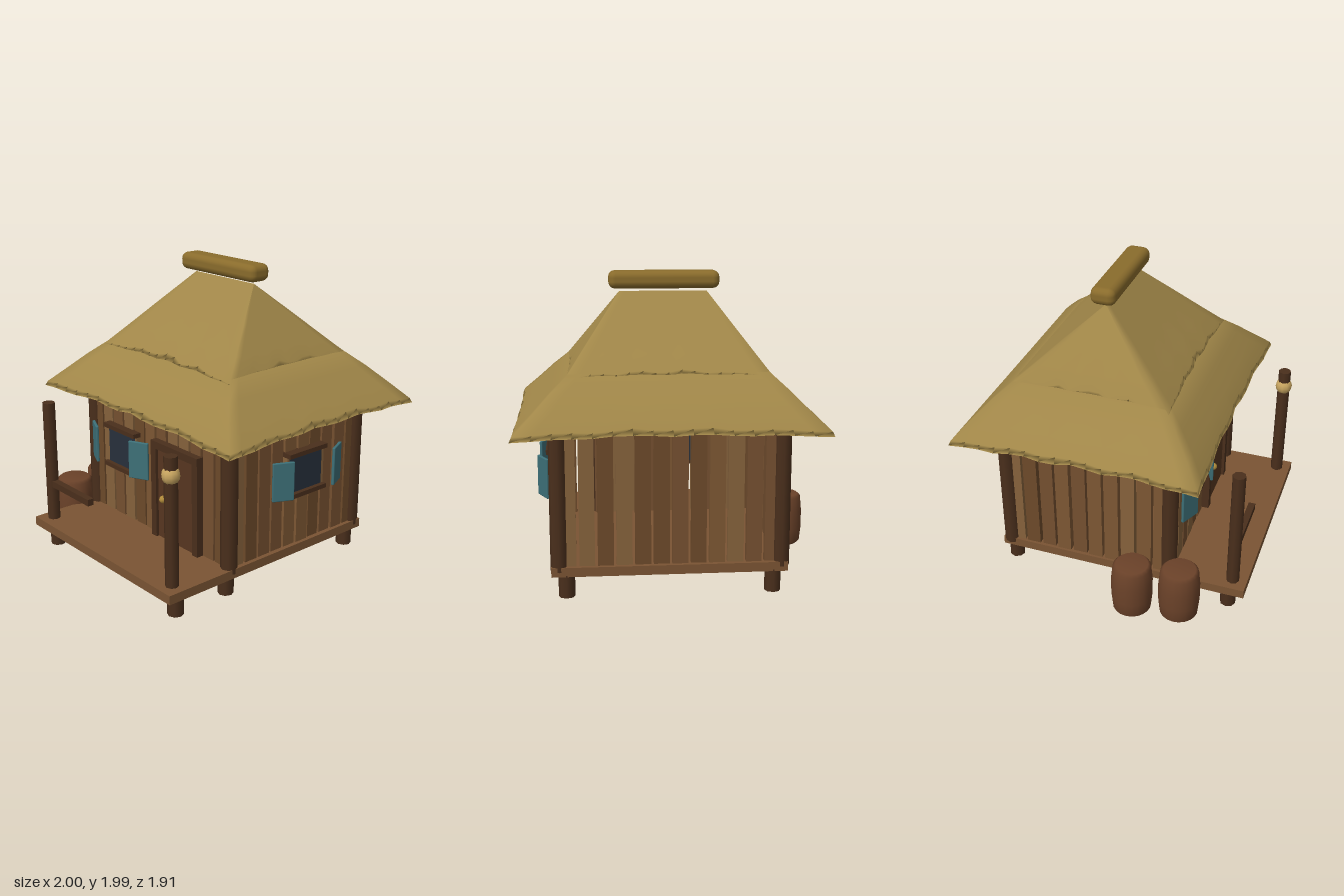
import * as THREE from 'three';
import { RoundedBoxGeometry } from 'three/addons/geometries/RoundedBoxGeometry.js';

const mat = (color, extra = {}) => new THREE.MeshStandardMaterial({ color, ...extra });
const DARK = mat(0x4a2f1c), FLOOR = mat(0x7a5433), DOOR = mat(0x573620), BARREL = mat(0x6b4229);
const GLASS = mat(0x27303c), TEAL = mat(0x3d7078), BRASS = mat(0xb08a3a), LAMP = mat(0xc8a560);
const THATCH = mat(0xa08648, { side: THREE.DoubleSide }), RIDGE = mat(0x8a6c2c);
const WOOD = [0x7d5733, 0x6d4a2a, 0x86623c, 0x755030].map(c => mat(c));

// Layout of the hut body
const X0 = -0.67, X1 = 0.73, Z0 = -0.69, Z1 = 0.435;
const CX = (X0 + X1) / 2, CZ = (Z0 + Z1) / 2;

let seed = 7;
const rand = () => (seed = (seed * 16807) % 2147483647) / 2147483647;

function add(parent, name, geometry, material, x = 0, y = 0, z = 0) {
  const mesh = new THREE.Mesh(geometry, material);
  mesh.name = name;
  mesh.position.set(x, y, z);
  parent.add(mesh);
  return mesh;
}
const box = (parent, name, w, h, d, material, x, y, z) =>
  add(parent, name, new THREE.BoxGeometry(w, h, d), material, x, y, z);
const pole = (parent, name, r, y0, y1, x, z) =>
  add(parent, name, new THREE.CylinderGeometry(r, r, y1 - y0, 8), DARK, x, (y0 + y1) / 2, z);

// Row of separate planks along local x, centred on the origin
function plankWall(name, length, count) {
  const wall = new THREE.Group();
  wall.name = name;
  const pitch = length / count;
  for (let i = 0; i < count; i++) {
    const w = pitch - 0.015 - 0.005 * rand();
    box(wall, 'plank', w, 0.92, 0.035 + 0.015 * rand(), WOOD[Math.floor(rand() * 4)],
      (i + 0.5) * pitch - length / 2, 0.65, 0);
  }
  return wall;
}

// Window facing local +z, with shutters hinged on their outer edges
function makeWindow(name) {
  const win = new THREE.Group();
  win.name = name;
  box(win, 'windowPane', 0.295, 0.26, 0.05, GLASS, 0, 0.70, 0.025);
  for (const y of [0.845, 0.565]) box(win, 'windowBeam', 0.34, 0.03, 0.08, DARK, 0, y, 0.04);
  for (const s of [-1, 1]) {
    box(win, 'windowJamb', 0.02, 0.26, 0.05, WOOD[2], s * 0.157, 0.705, 0.025);
    add(win, 'shutter', new RoundedBoxGeometry(0.145, 0.26, 0.02, 2, 0.006), TEAL, s * 0.245, 0.705, 0.095)
      .rotation.y = s * 0.44;
  }
  return win;
}

// Hipped thatch layer: rings of [y, halfX, halfZ, waviness] from the underside up
function thatch(rings, n = 16) {
  const corners = [[-1, 1], [1, 1], [1, -1], [-1, -1]];
  const count = 4 * n, pos = [], index = [];
  rings.forEach(([y, hx, hz, wave], r) => {
    for (let s = 0; s < 4; s++) {
      const [ax, az] = corners[s], [bx, bz] = corners[(s + 1) % 4];
      for (let i = 0; i < n; i++) {
        const t = i / n, bow = 4 * t * (1 - t);
        const rough = bow * wave * (0.75 + 0.25 * Math.sin(i * 1.7 + s * 2.1) + 0.3 * (rand() - 0.5));
        const x = (ax + (bx - ax) * t) * hx, z = (az + (bz - az) * t) * hz;
        // The edge rises and draws inward between the corners
        pos.push(x - (s % 2 ? Math.sign(ax) * rough * 0.8 : 0), y + rough,
          z - (s % 2 ? 0 : Math.sign(az) * rough * 0.8));
        if (r < rings.length - 1) {
          const k = s * n + i, a = r * count + k, b = r * count + (k + 1) % count;
          index.push(a, b, b + count, a, b + count, a + count);
        }
      }
    }
  });
  const g = new THREE.BufferGeometry();
  g.setAttribute('position', new THREE.Float32BufferAttribute(pos, 3));
  g.setIndex(index);
  g.computeVertexNormals();
  return g;
}

export function createModel() {
  const hut = new THREE.Group();
  hut.name = 'thatchedHut';

  // Deck on six short stilts
  box(hut, 'deck', 1.49, 0.06, 1.69, FLOOR, 0.035, 0.17, 0.105);
  for (const x of [-0.62, 0.685])
    for (const z of [0.83, 0.42, -0.69]) pole(hut, 'stilt', 0.052, 0, 0.15, x, z);

  // Corner posts
  for (const x of [X0, X1])
    for (const z of [Z0, Z1]) pole(hut, 'cornerPost', 0.055, 0.17, 1.12, x, z);

  // Plank walls
  for (const [name, z] of [['frontWall', Z1], ['backWall', Z0]]) {
    const wall = plankWall(name, X1 - X0, 12);
    wall.position.set(CX, 0, z);
    hut.add(wall);
  }
  for (const [name, x] of [['leftWall', X1], ['rightWall', X0]]) {
    const wall = plankWall(name, Z1 - Z0, 10);
    wall.rotation.y = Math.PI / 2;
    wall.position.set(x, 0, CZ);
    hut.add(wall);
  }

  // Windows
  const frontWindow = makeWindow('frontWindow');
  frontWindow.position.set(-0.305, 0, Z1);
  const sideWindow = makeWindow('sideWindow');
  sideWindow.rotation.y = Math.PI / 2;
  sideWindow.position.set(X1, 0, -0.18);
  hut.add(frontWindow, sideWindow);

  // Door
  const door = new THREE.Group();
  door.name = 'door';
  door.position.set(0.272, 0, Z1);
  hut.add(door);
  box(door, 'doorPanel', 0.37, 0.63, 0.05, DOOR, 0, 0.515, 0.025);
  for (const s of [-1, 1]) box(door, 'doorJamb', 0.05, 0.675, 0.07, DARK, s * 0.208, 0.5375, 0.035);
  box(door, 'doorLintel', 0.465, 0.05, 0.07, DARK, 0, 0.85, 0.036);
  add(door, 'doorKnob', new THREE.SphereGeometry(0.025, 12, 8), BRASS, -0.118, 0.487, 0.065);

  // Porch posts, rail and lantern
  for (const x of [-0.62, 0.685]) pole(hut, 'porchPost', 0.043, 0.19, 1.04, x, 0.855);
  box(hut, 'porchRail', 0.46, 0.045, 0.045, DARK, -0.39, 0.463, 0.855);
  add(hut, 'lantern', new THREE.SphereGeometry(0.058, 10, 8), LAMP, 0.685, 0.92, 0.855).scale.y = 1.05;

  // Two thatch layers and the ridge roll
  add(hut, 'lowerRoof', thatch([
    [1.35, 0.62, 0.49, 0], [1.055, 0.965, 0.82, 0.03], [1.085, 0.952, 0.807, 0.035],
    [1.19, 0.84, 0.715, 0], [1.3, 0.73, 0.61, 0], [1.4, 0.62, 0.5, 0], [1.43, 0.3, 0.2, 0],
  ]), THATCH, 0.035, 0, -0.137);
  add(hut, 'upperRoof', thatch([
    [1.42, 0.55, 0.42, 0], [1.345, 0.65, 0.545, 0.045], [1.375, 0.64, 0.527, 0.05],
    [1.5, 0.548, 0.39, 0], [1.65, 0.438, 0.23, 0], [1.86, 0.285, 0, 0],
  ]), THATCH, 0.035, 0, -0.135);
  add(hut, 'ridgeRoll', new RoundedBoxGeometry(0.72, 0.115, 0.165, 2, 0.045), RIDGE, 0.03, 1.935, -0.135);

  // Barrels beside the porch
  const profile = [[0, 0], [0.105, 0], [0.125, 0.02], [0.135, 0.12], [0.135, 0.245], [0.125, 0.345], [0.105, 0.365], [0, 0.365]]
    .map(([x, y]) => new THREE.Vector2(x, y));
  for (const [x, z] of [[-0.865, 0.245], [-0.815, 0.55]])
    add(hut, 'barrel', new THREE.LatheGeometry(profile, 20), BARREL, x, 0, z);

  return hut;
}
